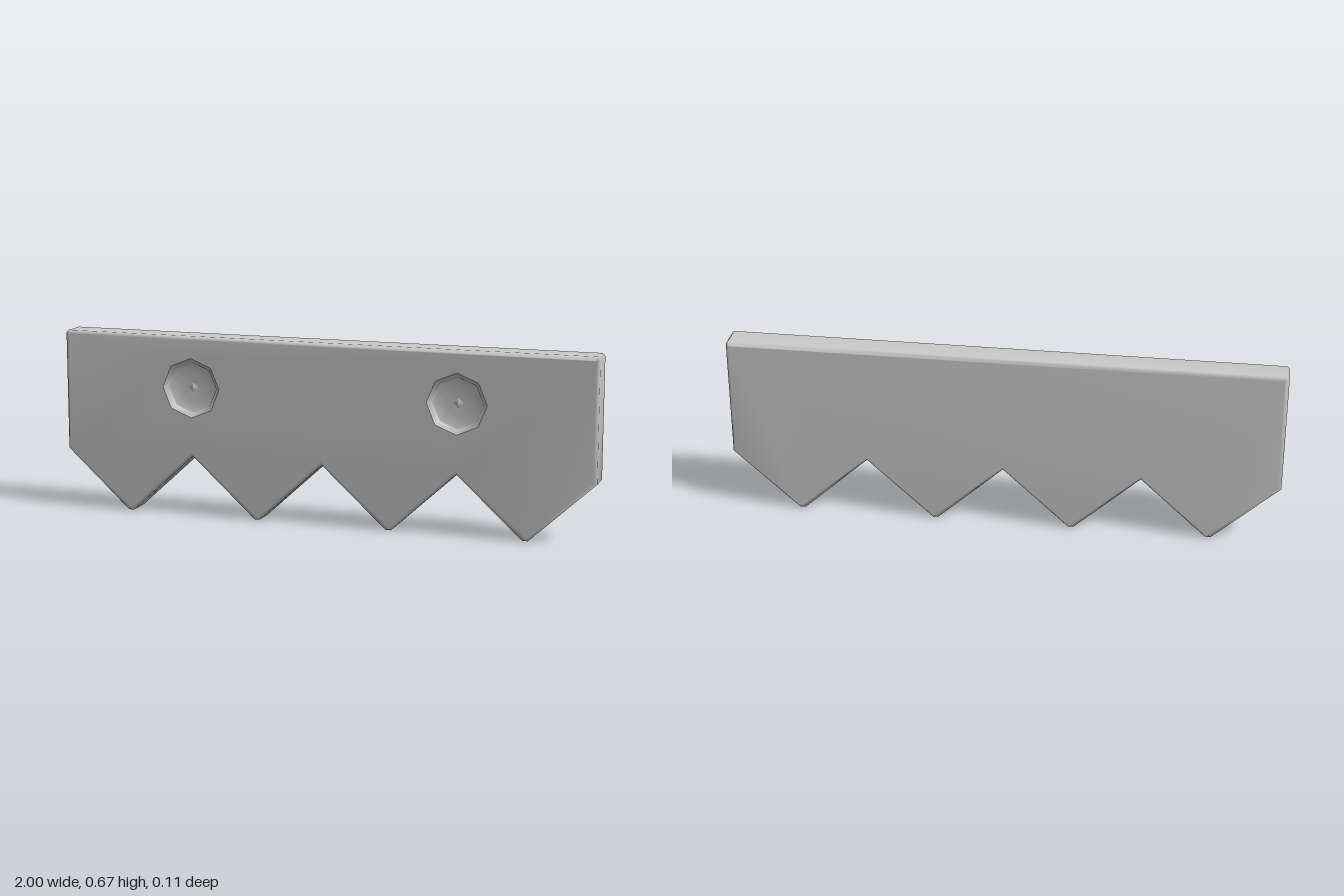
import * as THREE from 'three';

const HALF = 0.055;    // half thickness of the plate
const BEVEL = 0.012;
const TOP = 0.666, VALLEY = 0.22;
const HOLE_R = 0.11, HOLE_Y = 0.475, HOLE_X = [-0.5, 0.5];

const material = new THREE.MeshStandardMaterial({ color: 0xcccccc });
const v2 = (x, y) => new THREE.Vector2(x, y);

// Counter-clockwise outline: four blunt teeth below, clipped corners on top
function plateOutline() {
  const pts = [v2(-1, VALLEY)];
  for (let i = 0; i < 4; i++) {
    const x = -0.75 + i * 0.5;
    pts.push(v2(x - 0.01, 0), v2(x + 0.01, 0), v2(x + 0.25, VALLEY));
  }
  pts.push(v2(1, TOP - 0.01), v2(0.99, TOP), v2(-0.99, TOP), v2(-1, TOP - 0.01));
  return pts;
}

// Mitred inset of a closed counter-clockwise outline
function inset(pts, d) {
  const n = pts.length;
  const normal = (a, b) => v2(a.y - b.y, b.x - a.x).normalize();
  return pts.map((p, i) => {
    const n1 = normal(pts[(i + n - 1) % n], p);
    const n2 = normal(p, pts[(i + 1) % n]);
    return p.clone().addScaledVector(n1.clone().add(n2), d / (1 + n1.dot(n2)));
  });
}

// Bevelled plate whose front face has octagonal openings
function plateGeometry() {
  const outer = plateOutline();
  const inner = inset(outer, BEVEL);
  const n = outer.length;
  const positions = [], index = [];
  const addLoop = (pts, z) => pts.forEach(p => positions.push(p.x, p.y, z));

  // rim: front edge, two outer loops, back edge
  addLoop(inner, HALF);
  addLoop(outer, HALF - BEVEL);
  addLoop(outer, BEVEL - HALF);
  addLoop(inner, -HALF);
  for (let k = 0; k < 3; k++) {
    for (let i = 0; i < n; i++) {
      const j = (i + 1) % n;
      const a = k * n + i, d = k * n + j;
      index.push(a, a + n, d + n, a, d + n, d);
    }
  }

  // front face with clockwise openings
  const holes = HOLE_X.map(x => Array.from({ length: 8 }, (_, i) => {
    const t = -i * Math.PI / 4;
    return v2(x + HOLE_R * Math.cos(t), HOLE_Y + HOLE_R * Math.sin(t));
  }));
  holes.forEach(h => addLoop(h, HALF));
  const frontId = i => (i < n ? i : i + 3 * n);
  THREE.ShapeUtils.triangulateShape(inner, holes)
    .forEach(f => index.push(...f.map(frontId)));

  // plain back face
  THREE.ShapeUtils.triangulateShape(inner, [])
    .forEach(([a, b, c]) => index.push(3 * n + a, 3 * n + c, 3 * n + b));

  const geo = new THREE.BufferGeometry();
  geo.setAttribute('position', new THREE.Float32BufferAttribute(positions, 3));
  geo.setIndex(index);
  geo.computeVertexNormals();
  return geo;
}

// Recessed octagonal dish with a small point in its middle
function boltRecess(x) {
  const group = new THREE.Group();
  group.name = 'boltRecess';
  const profile = [
    v2(HOLE_R, HALF), v2(0.104, 0.048), v2(0.095, 0.044),
    v2(0.091, 0.034), v2(0.05, 0.03), v2(0, 0.028),
  ];
  const dish = new THREE.Mesh(new THREE.LatheGeometry(profile, 8).rotateX(Math.PI / 2), material);
  dish.name = 'recessDish';
  const point = new THREE.Mesh(new THREE.ConeGeometry(0.02, 0.008, 4).rotateX(Math.PI / 2), material);
  point.name = 'recessPoint';
  point.position.z = 0.032;
  group.add(dish, point);
  group.position.set(x, HOLE_Y, 0);
  return group;
}

export function createModel() {
  const model = new THREE.Group();
  model.name = 'toothedPlate';
  const plate = new THREE.Mesh(plateGeometry(), material);
  plate.name = 'plate';
  model.add(plate, ...HOLE_X.map(boltRecess));
  return model;
}
